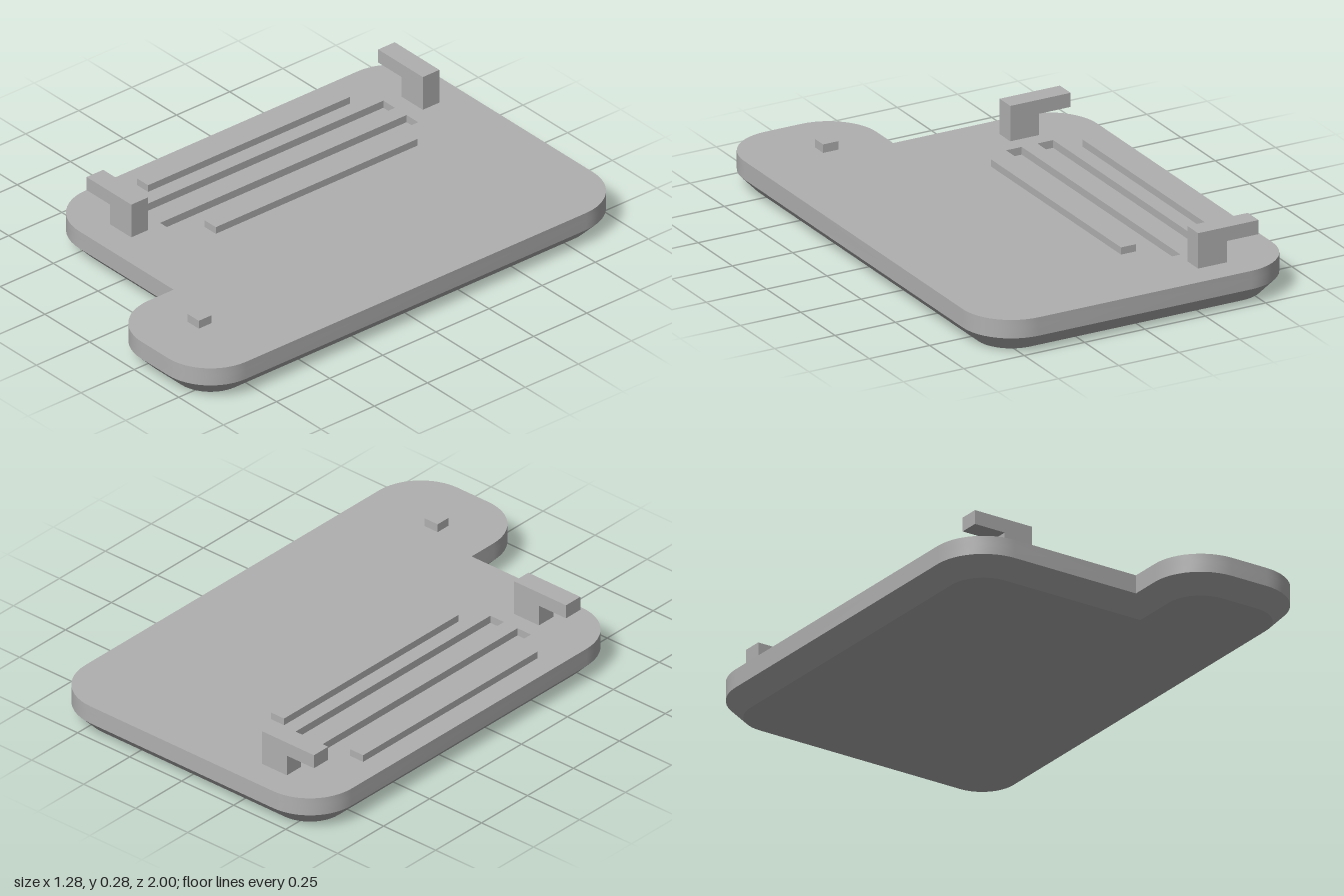
import * as THREE from 'three';
import { toCreasedNormals } from 'three/addons/utils/BufferGeometryUtils.js';

const TOP = 0.137, GROOVE_FLOOR = 0.107, CHAMFER_TOP = 0.065, CHAMFER = 0.063;
const RADIUS = 0.2, STEPS = 12;

// Plan outline (shape y = -z), counter-clockwise, moved inward by d
function outline(d = 0) {
  const corner = (cx, cy, start) => Array.from({ length: STEPS + 1 }, (_, i) => {
    const a = start + (i / STEPS) * Math.PI / 2;
    return new THREE.Vector2(cx + Math.cos(a) * (RADIUS - d), cy + Math.sin(a) * (RADIUS - d));
  });
  return [
    ...corner(-0.44, -0.48, Math.PI),
    new THREE.Vector2(0.09 + d, -0.68 + d), // sharp inner corner beside the tab
    ...corner(0.29, -0.8, Math.PI),
    ...corner(0.44, -0.8, Math.PI * 1.5),
    ...corner(0.44, 0.8, 0),
    ...corner(-0.44, 0.8, Math.PI / 2),
  ];
}

// Chamfered lower body: stacked outline rings with a flat underside
function lowerBody() {
  const rings = [[0, CHAMFER], [CHAMFER_TOP, 0], [GROOVE_FLOOR, 0]];
  const n = outline().length, pos = [], index = [];
  for (const [y, d] of rings) for (const p of outline(d)) pos.push(p.x, y, -p.y);
  for (let r = 0; r < rings.length - 1; r++) {
    for (let i = 0; i < n; i++) {
      const a = r * n + i, b = r * n + (i + 1) % n;
      index.push(a, b, b + n, a, b + n, a + n);
    }
  }
  const faces = THREE.ShapeUtils.triangulateShape(outline(CHAMFER), []);
  const last = (rings.length - 1) * n;
  for (const [a, b, c] of faces) index.push(a, c, b);
  // Upper cap, which is the floor of the grooves
  for (const [a, b, c] of THREE.ShapeUtils.triangulateShape(outline(), [])) {
    index.push(last + a, last + b, last + c);
  }
  const g = new THREE.BufferGeometry();
  g.setAttribute('position', new THREE.Float32BufferAttribute(pos, 3));
  g.setIndex(index);
  return toCreasedNormals(g, 0.5);
}

// Upper layer with the long grooves cut through it
function upperLayer() {
  const shape = new THREE.Shape(outline());
  for (const x of [-0.425, -0.295]) {
    shape.holes.push(new THREE.Path([
      new THREE.Vector2(x, -0.42), new THREE.Vector2(x, 0.74),
      new THREE.Vector2(x + 0.065, 0.74), new THREE.Vector2(x + 0.065, -0.42),
    ]));
  }
  const g = new THREE.ExtrudeGeometry(shape, { depth: TOP - GROOVE_FLOOR, bevelEnabled: false });
  g.rotateX(-Math.PI / 2).translate(0, GROOVE_FLOOR, 0);
  return toCreasedNormals(g, 0.5);
}

// L-shaped hook profile, extruded along z
function hook(z0, depth) {
  const shape = new THREE.Shape([
    [-0.405, TOP], [-0.285, TOP], [-0.285, 0.275], [-0.535, 0.275], [-0.535, 0.22], [-0.405, 0.22],
  ].map(([x, y]) => new THREE.Vector2(x, y)));
  return new THREE.ExtrudeGeometry(shape, { depth, bevelEnabled: false }).translate(0, 0, z0);
}

// Box given by its limits
function block(x0, x1, y0, y1, z0, z1) {
  return new THREE.BoxGeometry(x1 - x0, y1 - y0, z1 - z0)
    .translate((x0 + x1) / 2, (y0 + y1) / 2, (z0 + z1) / 2);
}

export function createModel() {
  const group = new THREE.Group();
  group.name = 'coverPlate';
  const grey = new THREE.MeshStandardMaterial({ color: 0xb0b0b0 });
  grey.name = 'grey';
  const add = (name, geometry) => {
    const mesh = new THREE.Mesh(geometry, grey);
    mesh.name = name;
    group.add(mesh);
  };

  add('lowerBody', lowerBody());
  add('groovedTop', upperLayer());

  // Raised rails either side of the grooves
  add('rightRail', block(-0.55, -0.487, TOP, 0.165, -0.635, 0.315));
  add('leftRail', block(-0.17, -0.108, TOP, 0.165, -0.635, 0.315));

  // Latch hooks at both ends of the rails
  add('frontHook', hook(0.486, 0.078));
  add('backHook', hook(-0.886, 0.078));

  // Small peg on the tab
  add('tabPeg', block(0.292, 0.355, TOP, 0.17, 0.724, 0.784));
  return group;
}
